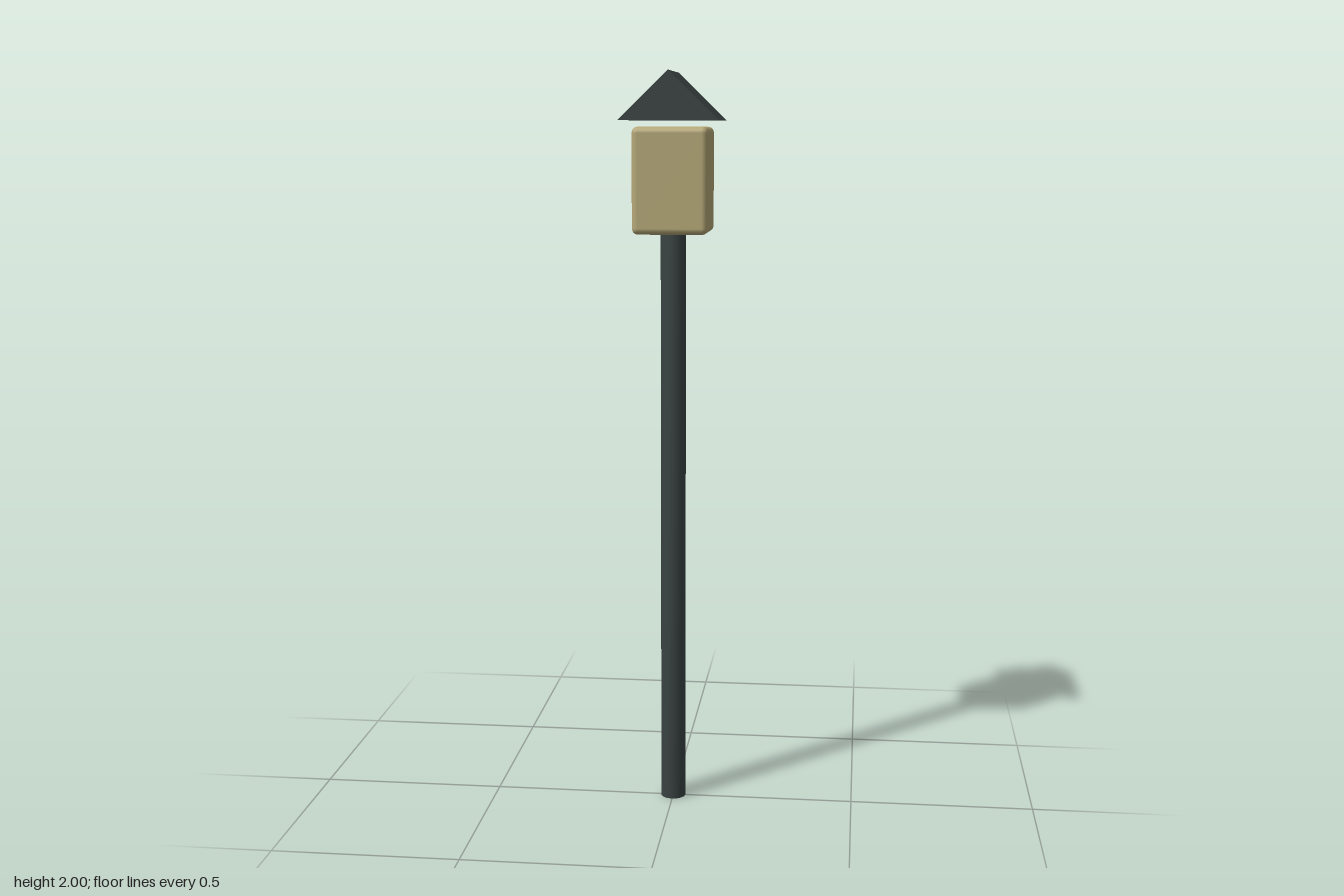
import * as THREE from 'three';
import { mergeVertices } from 'three/addons/utils/BufferGeometryUtils.js';
import { RoundedBoxGeometry } from 'three/addons/geometries/RoundedBoxGeometry.js';

export function createModel() {
  const group = new THREE.Group();
  const darkMetal = new THREE.MeshStandardMaterial({ name: 'dark metal', color: 0x3a4242 });
  const tan = new THREE.MeshStandardMaterial({ name: 'warm tan', color: 0xb5a877 });

  const add = (name, geometry, material, y) => {
    const mesh = new THREE.Mesh(geometry, material);
    mesh.name = name;
    mesh.position.y = y;
    group.add(mesh);
  };

  // Round pole, with normals blended softly over the end caps
  const poleHeight = 1.59;
  let pole = new THREE.CylinderGeometry(0.034, 0.034, poleHeight, 16);
  pole.deleteAttribute('normal');
  pole.deleteAttribute('uv');
  pole = mergeVertices(pole);
  pole.computeVertexNormals();
  add('pole', pole, darkMetal, poleHeight / 2);

  // House with softened edges
  add('house', new RoundedBoxGeometry(0.2, 0.278, 0.2, 2, 0.016), tan, 1.718);

  // Gabled roof, ridge running front to back, floating just above the house
  const gable = new THREE.Shape([
    new THREE.Vector2(-0.13, 0),
    new THREE.Vector2(0.13, 0),
    new THREE.Vector2(0, 0.126),
  ]);
  const roof = new THREE.ExtrudeGeometry(gable, { depth: 0.26, bevelEnabled: false });
  roof.translate(0, 0, -0.13);
  add('roof', roof, darkMetal, 1.874);

  return group;
}
